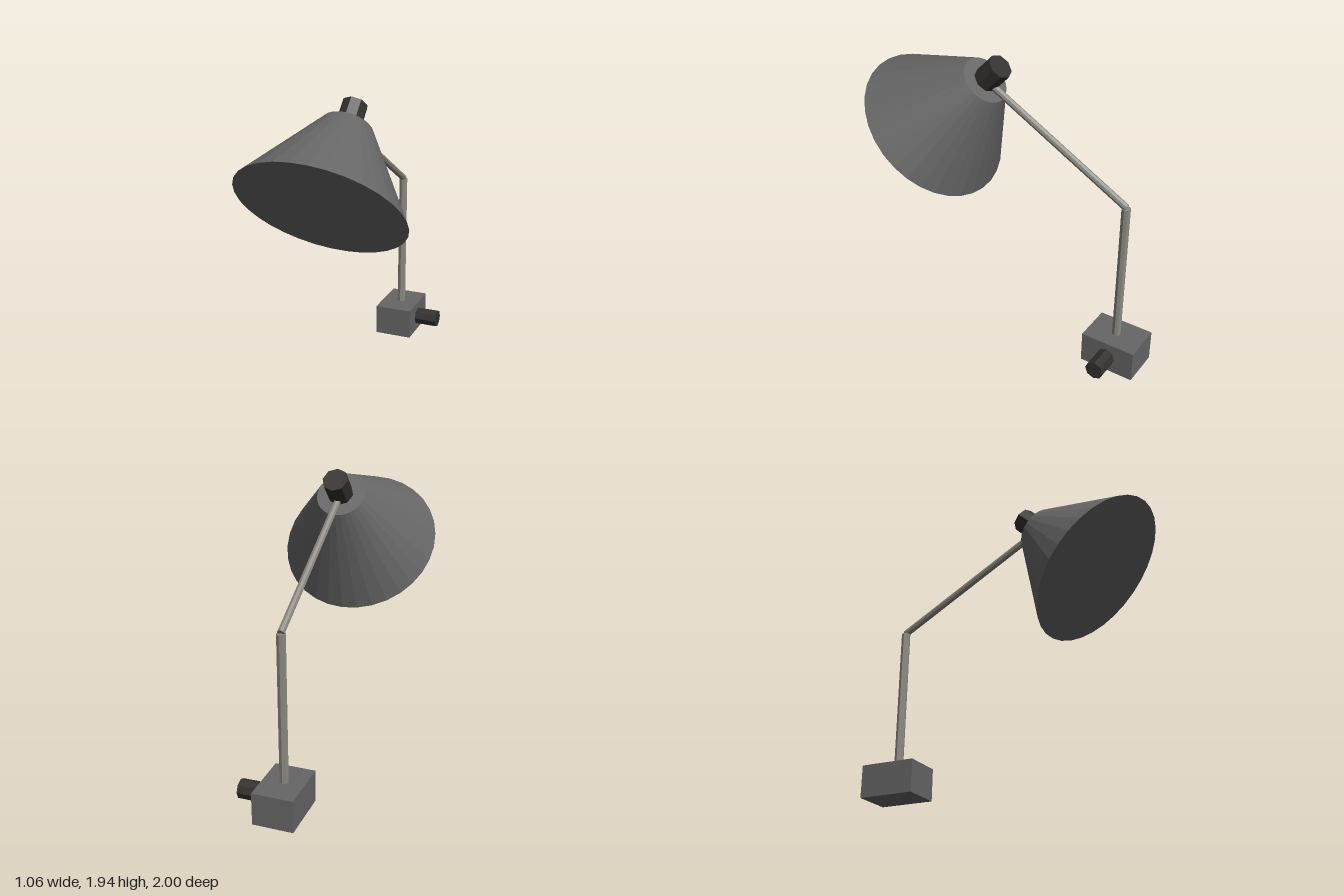
import * as THREE from 'three';

const material = (color) => new THREE.MeshStandardMaterial({ color, flatShading: true });

export function createModel() {
  const lamp = new THREE.Group();
  lamp.name = 'wallLamp';
  const grey = material(0x666666);
  const dark = material(0x33312f);
  const metal = material(0x8a8880);

  // Cylinder or cone frustum running between two points
  function rod(name, from, to, r0, r1, sides, mat) {
    const a = new THREE.Vector3(...from);
    const b = new THREE.Vector3(...to);
    const dir = b.clone().sub(a);
    const mesh = new THREE.Mesh(new THREE.CylinderGeometry(r1, r0, dir.length(), sides), mat);
    mesh.position.copy(a).add(b).multiplyScalar(0.5);
    mesh.quaternion.setFromUnitVectors(new THREE.Vector3(0, 1, 0), dir.normalize());
    mesh.name = name;
    lamp.add(mesh);
  }

  // Mounting block with its side knob
  const base = new THREE.Mesh(new THREE.BoxGeometry(0.266, 0.215, 0.372), grey);
  base.position.set(0, 0.1075, -0.814);
  base.name = 'baseBlock';
  lamp.add(base);
  rod('sideKnob', [0.12, 0.108, -0.81], [0.292, 0.108, -0.81], 0.063, 0.063, 8, dark);

  // Upright post and sloping arm
  rod('post', [0, 0.2, -0.81], [0, 1.178, -0.81], 0.03, 0.03, 8, metal);
  rod('arm', [0, 1.183, -0.812], [0, 1.75, 0.185], 0.023, 0.023, 8, metal);

  // Tilted conical shade, closed at both ends, with a cap on top
  rod('shade', [0, 1.35, 0.625], [0, 1.7625, 0.2125], 0.532, 0.16, 32, grey);
  rod('shadeCap', [0, 1.7625, 0.2125], [0, 1.878, 0.097], 0.083, 0.083, 8, dark);

  return lamp;
}
